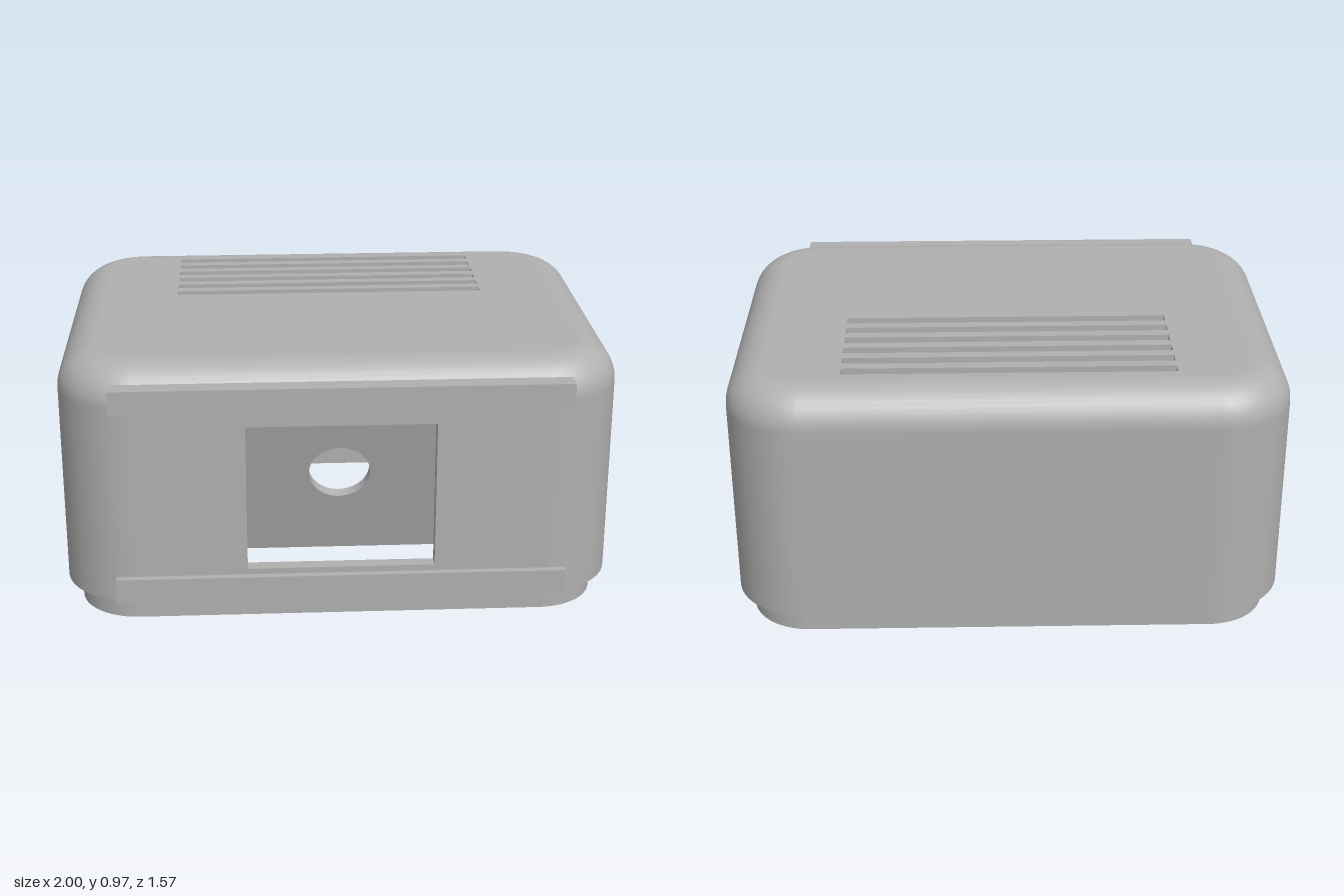
import * as THREE from 'three';

const grey = new THREE.MeshStandardMaterial({ color: 0xb0b0b0 });
grey.name = 'grey plastic';

const HALF_X = 1, HALF_Z = 0.751, MID_Z = -0.034, CORNER = 0.27;
const BASE = 0.09, TOP = 0.97, WALL = 0.05, FILLET = 0.14, SEGS = 16;
const FRONT = MID_Z + HALF_Z;

function part(name, geometry, parent) {
  const mesh = new THREE.Mesh(geometry, grey);
  mesh.name = name;
  parent.add(mesh);
  return mesh;
}

// Rounded rectangle in plan, moved inwards by inset
function ring(inset) {
  const pts = [];
  for (let q = 0; q < 4; q++) {
    const sx = q === 0 || q === 3 ? 1 : -1, sz = q < 2 ? 1 : -1;
    for (let i = 0; i <= SEGS; i++) {
      const a = (q + i / SEGS) * Math.PI / 2, c = Math.cos(a), s = Math.sin(a), r = CORNER - inset;
      pts.push({ x: sx * (HALF_X - CORNER) + r * c, z: MID_Z + sz * (HALF_Z - CORNER) + r * s, c, s });
    }
  }
  return pts;
}

// Sweeps strips of [inset, y, outward normal, upward normal] around the plan
function sweep(strips) {
  const pos = [], nor = [], idx = [];
  for (const { profile, openFront } of strips) {
    const start = pos.length / 3, n = 4 * (SEGS + 1);
    for (const [inset, y, no, nu] of profile) {
      for (const p of ring(inset)) {
        pos.push(p.x, y, p.z);
        nor.push(p.c * no, nu, p.s * no);
      }
    }
    for (let j = 0; j < profile.length - 1; j++) {
      for (let i = 0; i < n; i++) {
        if (openFront && i === SEGS) continue;
        const a = start + j * n + i, b = start + j * n + (i + 1) % n;
        idx.push(a, a + n, b, b, a + n, b + n);
      }
    }
  }
  const g = new THREE.BufferGeometry();
  g.setAttribute('position', new THREE.Float32BufferAttribute(pos, 3));
  g.setAttribute('normal', new THREE.Float32BufferAttribute(nor, 3));
  g.setIndex(idx);
  return g;
}

function rect(x0, y0, x1, y1, Type = THREE.Shape) {
  return new Type([[x0, y0], [x1, y0], [x1, y1], [x0, y1]].map(p => new THREE.Vector2(...p)));
}

function circle(x, y, r, Type = THREE.Path) {
  const c = new Type();
  c.absarc(x, y, r, 0, Math.PI * 2, false);
  return c;
}

function extrude(shape, depth) {
  return new THREE.ExtrudeGeometry(shape, { depth, bevelEnabled: false, curveSegments: 24 });
}

export function createModel() {
  const model = new THREE.Group();
  model.name = 'enclosure';

  // Hollow walls and rounded top edge, with the flat of the front left open
  const shoulder = TOP - FILLET, outer = [], inner = [];
  for (let i = 0; i <= 10; i++) {
    const a = i / 10 * Math.PI / 2, c = Math.cos(a), s = Math.sin(a), r = FILLET - WALL;
    outer.push([FILLET - FILLET * c, shoulder + FILLET * s, c, s]);
    inner.unshift([FILLET - r * c, shoulder + r * s, -c, -s]);
  }
  part('walls', sweep([
    { openFront: true, profile: [[WALL, BASE, 0, -1], [0, BASE, 0, -1]] },
    { openFront: true, profile: [[0, BASE, 1, 0], [0, shoulder, 1, 0]] },
    { profile: outer },
    { profile: inner },
    { openFront: true, profile: [[WALL, shoulder, -1, 0], [WALL, BASE, -1, 0]] },
  ]), model);

  // Front wall with its window
  const flat = HALF_X - CORNER;
  const front = rect(-flat, BASE, flat, shoulder);
  front.holes.push(rect(-0.335, 0.21, 0.335, 0.755, THREE.Path));
  part('frontWall', extrude(front, WALL), model).position.z = FRONT - WALL;

  // Roof with six ventilation slots
  const roof = new THREE.Shape(ring(FILLET).map(p => new THREE.Vector2(p.x, -p.z)));
  for (let i = 0; i < 6; i++) {
    const y = 0.152 + i * 0.087;
    roof.holes.push(rect(-0.587, y - 0.023, 0.587, y + 0.023, THREE.Path));
  }
  const roofMesh = part('slottedRoof', extrude(roof, WALL), model);
  roofMesh.rotation.x = -Math.PI / 2;
  roofMesh.position.y = TOP - WALL;

  // Inset lip around the open bottom
  const lipIn = 0.08, lipTop = 0.13;
  part('bottomLip', sweep([
    { profile: [[lipIn, 0, 0, -1], [WALL, 0, 0, -1]] },
    { profile: [[WALL, 0, 1, 0], [WALL, lipTop, 1, 0]] },
    { profile: [[WALL, lipTop, 0, 1], [lipIn, lipTop, 0, 1]] },
    { profile: [[lipIn, lipTop, -1, 0], [lipIn, 0, -1, 0]] },
  ]), model);

  // L-section rails facing each other across the front
  for (const [name, edge, dir] of [['upperRail', 0.92, -1], ['lowerRail', 0.12, 1]]) {
    const section = new THREE.Shape([[0, 0], [0.068, 0], [0.068, 0.09], [0.043, 0.09], [0.043, 0.05], [0, 0.05]]
      .map(([z, y]) => new THREE.Vector2(-z, edge + dir * y)));
    const rail = part(name, extrude(section, 1.6), model);
    rail.rotation.y = Math.PI / 2;
    rail.position.set(-0.8, 0, FRONT);
  }

  // Tilted mounting plate behind the window, with a round opening
  const mount = new THREE.Group();
  mount.name = 'tiltedMount';
  mount.position.set(0, 0.52, 0.581);
  mount.rotation.x = THREE.MathUtils.degToRad(15);
  model.add(mount);
  const plate = rect(-0.42, -0.352, 0.42, 0.33);
  plate.holes.push(circle(0, 0, 0.11));
  part('mountingPlate', extrude(plate, 0.04), mount).position.z = -0.04;

  // Four hollow screw posts on the back of the plate
  for (const x of [-0.168, 0.168]) {
    for (const y of [0, -0.2]) {
      const post = circle(0, 0, 0.037, THREE.Shape);
      post.holes.push(circle(0, 0, 0.018));
      part('screwPost', extrude(post, 0.09), mount).position.set(x, y, -0.13);
    }
  }
  return model;
}
